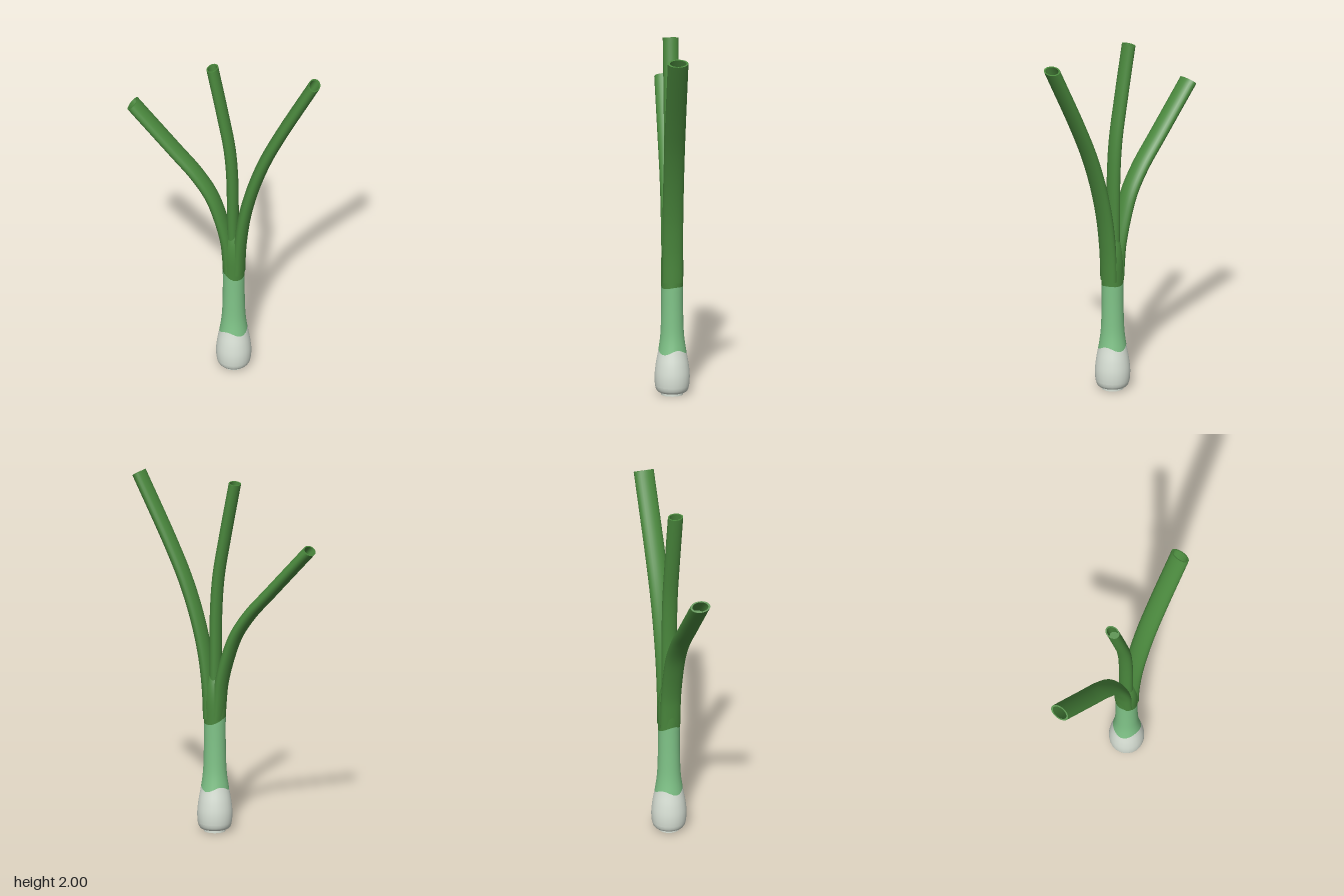
import * as THREE from 'three';

const SIDES = 24;
const AXIS_X = 0.053;

// Closed-ring skin: rows of points, wound so faces point outwards as rows climb
function skin(rows) {
  const positions = rows.flat().flatMap((p) => [p.x, p.y, p.z]);
  const index = [];
  for (let r = 0; r < rows.length - 1; r++) {
    for (let j = 0; j < SIDES; j++) {
      const k = (j + 1) % SIDES;
      const a = r * SIDES + j, b = r * SIDES + k;
      const c = a + SIDES, d = b + SIDES;
      index.push(a, c, b, b, c, d);
    }
  }
  const geometry = new THREE.BufferGeometry();
  geometry.setAttribute('position', new THREE.Float32BufferAttribute(positions, 3));
  geometry.setIndex(index);
  geometry.computeVertexNormals();
  return geometry;
}

function ring(fn) {
  return Array.from({ length: SIDES }, (_, j) => fn((j / SIDES) * Math.PI * 2));
}

// Radius of bulb and stem by height
const profile = new THREE.CatmullRomCurve3([
  [0.06, 0.012], [0.08, 0.02], [0.091, 0.04], [0.097, 0.1], [0.091, 0.17], [0.077, 0.25],
  [0.066, 0.33], [0.061, 0.45], [0.06, 0.6], [0.061, 0.76], [0.05, 0.84], [0.025, 0.92],
].map(([r, y]) => new THREE.Vector3(r, y, 0))).getPoints(150);

function radiusAt(y) {
  for (let i = 1; i < profile.length; i++) {
    const a = profile[i - 1], b = profile[i];
    if (y <= b.y) return THREE.MathUtils.mapLinear(Math.max(y, a.y), a.y, b.y, a.x, b.x);
  }
  return profile[profile.length - 1].x;
}

// Section of the stem between two height functions of the angle
function band(bottom, top, steps) {
  return skin(Array.from({ length: steps + 1 }, (_, i) => ring((a) => {
    const y = THREE.MathUtils.lerp(bottom(a), top(a), i / steps);
    const r = radiusAt(y);
    return new THREE.Vector3(AXIS_X + r * Math.cos(a), y, r * Math.sin(a));
  })));
}

// Hollow leaf with an oval section, swept along a path in the xy plane
function makeLeaf(name, path, width, depth, material) {
  const group = new THREE.Group();
  group.name = name;
  const curve = new THREE.CatmullRomCurve3(path.map(([x, y]) => new THREE.Vector3(x, y, 0)), false, 'centripetal');
  const section = (u, scale) => {
    const p = curve.getPointAt(u), t = curve.getTangentAt(u);
    return ring((a) => new THREE.Vector3(
      p.x + t.y * Math.cos(a) * width * scale,
      p.y - t.x * Math.cos(a) * width * scale,
      Math.sin(a) * depth * scale,
    ));
  };
  const steps = 40;
  const parts = {
    outside: Array.from({ length: steps + 1 }, (_, i) => section(i / steps, 1)),
    rim: [section(1, 1), section(1, 0.8)],
    inside: [section(1, 0.8), section(0.95, 0.8), section(0.9, 0.8)],
    floor: [section(0.9, 0.8), section(0.9, 0)],
  };
  for (const [part, rows] of Object.entries(parts)) {
    const mesh = new THREE.Mesh(skin(rows), material);
    mesh.name = name + part[0].toUpperCase() + part.slice(1);
    group.add(mesh);
  }
  return group;
}

export function createModel() {
  const model = new THREE.Group();
  model.name = 'leek';
  const mat = (name, color) => {
    const m = new THREE.MeshStandardMaterial({ color });
    m.name = name;
    return m;
  };
  const white = mat('bulbWhite', 0xdbe3d8);
  const pale = mat('paleGreen', 0x80c488);
  const green = mat('leafGreen', 0x4a883d);
  const add = (name, geometry, material) => {
    const mesh = new THREE.Mesh(geometry, material);
    mesh.name = name;
    model.add(mesh);
    return mesh;
  };

  // Wavy colour borders
  const whiteEdge = (a) => 0.248 + 0.013 * Math.sin(3 * a + 2.6);
  const greenEdge = (a) => 0.622 - 0.018 * Math.cos(a) + 0.01 * Math.cos(2 * a + 0.5);

  // Root disc, bulb and stem
  add('rootDisc', new THREE.CylinderGeometry(0.06, 0.06, 0.016, SIDES), white)
    .position.set(AXIS_X, 0.008, 0);
  add('bulbUnderside', band(() => 0.012, () => 0.05, 10), white);
  add('bulb', band(() => 0.05, whiteEdge, 14), white);
  add('paleStem', band(whiteEdge, greenEdge, 14), pale);
  add('greenStem', band(greenEdge, () => 0.92, 14), green);

  // Leaves
  model.add(makeLeaf('rightLeaf', [
    [0.03, 0.64], [0.023, 0.74], [0.014, 0.83], [-0.02, 0.97], [-0.075, 1.12],
    [-0.16, 1.25], [-0.28, 1.385], [-0.522, 1.655],
  ], 0.034, 0.057, green));
  model.add(makeLeaf('middleLeaf', [
    [0.05, 0.7], [0.048, 0.95], [0.045, 1.25], [0.03, 1.45], [-0.01, 1.68], [-0.069, 1.985],
  ], 0.032, 0.043, green));
  model.add(makeLeaf('leftLeaf', [
    [0.082, 0.64], [0.085, 0.74], [0.091, 0.83], [0.113, 1.0], [0.16, 1.2],
    [0.228, 1.4], [0.318, 1.6], [0.513, 1.983],
  ], 0.034, 0.057, green));
  return model;
}
